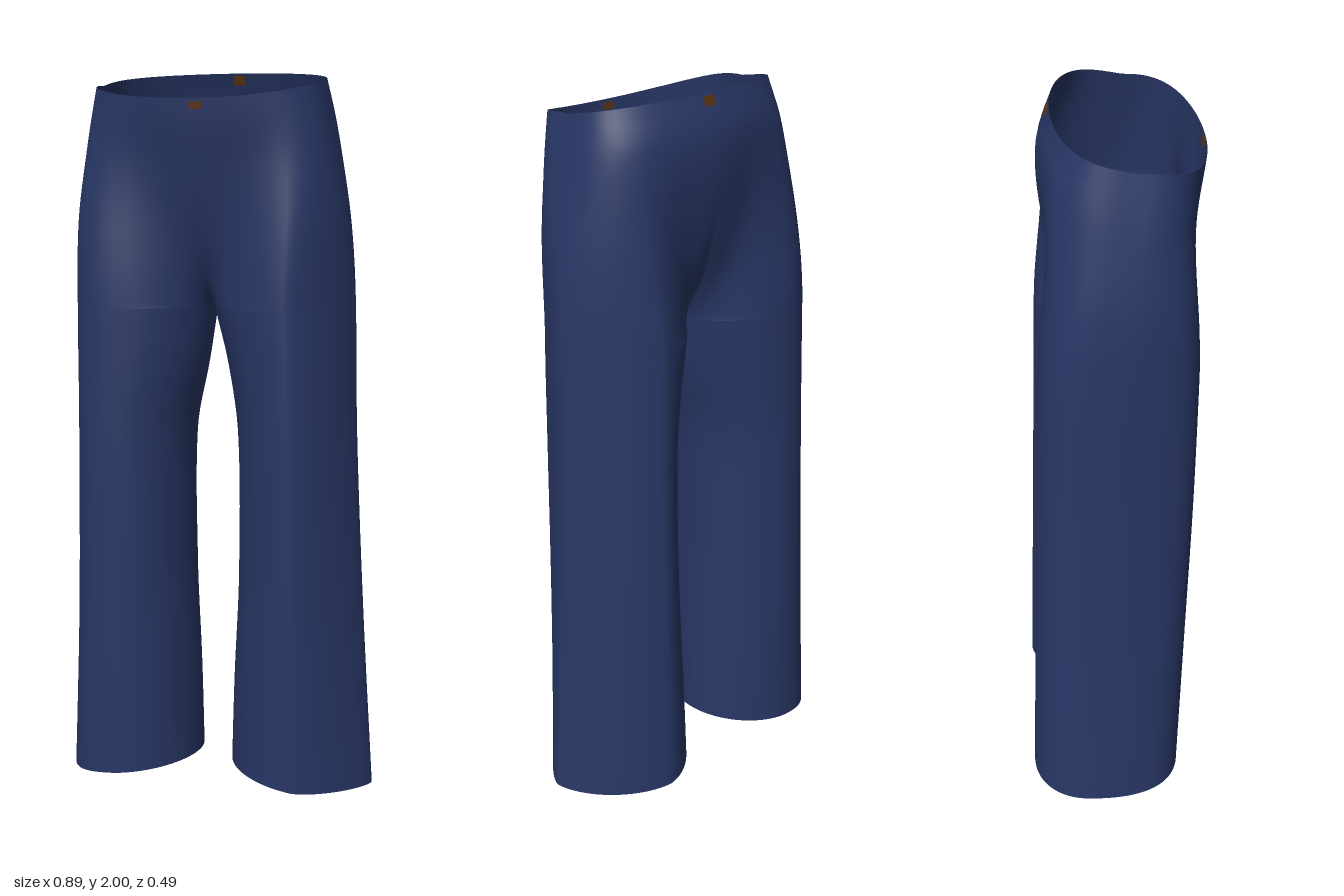
import * as THREE from 'three';
import { mergeVertices, mergeGeometries } from 'three/addons/utils/BufferGeometryUtils.js';

const { lerp, clamp, smoothstep } = THREE.MathUtils;
const CROTCH = 1.36, TOP = 1.96, CENTRE = -0.018;

// Smooth lookup of a value by height from [height, value] pairs
function profile(pairs) {
  const ys = pairs.map(p => p[0]), vs = pairs.map(p => p[1]), n = ys.length;
  const slope = ys.map((_, i) => {
    const a = Math.max(i - 1, 0), b = Math.min(i + 1, n - 1);
    return (vs[b] - vs[a]) / (ys[b] - ys[a]);
  });
  return y => {
    let i = 0;
    while (i < n - 2 && y > ys[i + 1]) i++;
    const h = ys[i + 1] - ys[i], t = clamp((y - ys[i]) / h, 0, 1);
    const t2 = t * t, t3 = t2 * t;
    return (2 * t3 - 3 * t2 + 1) * vs[i] + (t3 - 2 * t2 + t) * h * slope[i]
      + (3 * t2 - 2 * t3) * vs[i + 1] + (t3 - t2) * h * slope[i + 1];
  };
}

// The right leg is fuller and squarer in section, the left one more pointed
const legs = {
  right: {
    outer: profile([[0, -0.45], [0.5, -0.425], [1, -0.412], [1.4, -0.41], [1.6, -0.4], [1.8, -0.365], [1.96, -0.33]]),
    inner: profile([[0, -0.075], [0.3, -0.08], [0.6, -0.09], [1, -0.085], [1.2, -0.045], [1.36, CENTRE]]),
    frontX: -0.28, backX: -0.29, outerZ: -0.05, innerPower: 1.05, outerPower: 0.82,
  },
  left: {
    outer: profile([[0, 0.442], [0.5, 0.41], [1, 0.385], [1.4, 0.375], [1.6, 0.36], [1.8, 0.325], [1.96, 0.29]]),
    inner: profile([[0, 0.025], [0.3, 0.035], [0.6, 0.05], [1, 0.05], [1.2, 0.022], [1.36, CENTRE]]),
    frontX: 0.24, backX: 0.19, outerZ: 0, innerPower: 1.12, outerPower: 1.35,
  },
};
const legFront = profile([[0, 0.188], [0.5, 0.2], [1, 0.212], [1.5, 0.217], [1.96, 0.217]]);
const legBack = profile([[0, -0.243], [0.5, -0.228], [1, -0.212], [1.5, -0.197], [1.96, -0.187]]);
const waistFront = profile([[1.36, 0.21], [1.75, 0.217], [1.96, 0.24]]);
const waistBack = profile([[1.36, -0.185], [1.65, -0.192], [1.85, -0.187], [1.96, -0.15]]);

// Cloth point: t runs from the front seam, round the outer side, to the back seam
function clothPoint(leg, y, t) {
  const a = t * Math.PI, c = Math.cos(2 * a), s = Math.sin(2 * a);
  const front = legFront(y), back = legBack(y), midZ = (front + back) / 2;
  const inner = leg.inner(Math.min(y, CROTCH)), outer = leg.outer(y);
  const mid = lerp(lerp(leg.frontX, leg.backX, (1 - s) / 2), (inner + outer) / 2, 0.3);
  const soft = v => Math.sign(v) * Math.pow(Math.abs(v), c > 0 ? leg.innerPower : leg.outerPower);
  // Closed leg tube
  let x = mid + (c > 0 ? inner - mid : mid - outer) * soft(c);
  let z = midZ + (front - back) / 2 * soft(s) + (c < 0 ? c * c * (1 - Math.abs(s)) * (leg.outerZ - midZ) : 0);
  // Open half of the waist ring: opens quickly at the centre seam, slowly at the hip
  if (y > CROTCH) {
    const u = Math.min((y - CROTCH) / 0.54, 1), k = Math.cos(a), side = 0.05;
    const w = lerp(Math.pow(Math.sin(u * Math.PI / 2), 0.52), smoothstep(y, CROTCH, TOP),
      smoothstep(Math.sin(a), 0, 0.75));
    const wx = CENTRE + (outer - CENTRE) * Math.sin(a);
    const wz = side + Math.pow(Math.abs(k), 0.6) * (k > 0 ? waistFront(y) - side : waistBack(y) - side);
    x = lerp(x, wx, w);
    z = lerp(z, wz, w);
  }
  // Waist dips at the front and lifts at the back, hem rises at the inner side
  const d = z - 0.05, tilt = smoothstep(y, 1.5, TOP), hem = 1 - smoothstep(y, 0, 0.4);
  return new THREE.Vector3(x, y - tilt * (d > 0 ? 1.25 * d * d : 0.2 * d) + hem * 0.019 * (1 + c), z);
}

// Half of the trousers as a grid of cross-sections
function halfCloth(leg, flip) {
  const lower = 36, upper = 36, around = 96, rows = lower + upper, pos = [], index = [];
  for (let i = 0; i <= rows; i++) {
    const y = i <= lower ? CROTCH * i / lower
      : CROTCH + (TOP - CROTCH) * Math.pow((i - lower) / upper, 1.6);
    for (let j = 0; j <= around; j++) pos.push(...clothPoint(leg, y, j / around).toArray());
  }
  const n = around + 1;
  for (let i = 0; i < rows; i++) {
    for (let j = 0; j < around; j++) {
      const a = i * n + j, b = a + 1, c = b + n, d = a + n;
      index.push(...(flip ? [a, c, b, a, d, c] : [a, b, c, a, c, d]));
    }
  }
  const g = new THREE.BufferGeometry();
  g.setAttribute('position', new THREE.Float32BufferAttribute(pos, 3));
  g.setIndex(index);
  return g;
}

export function createModel() {
  const group = new THREE.Group();
  group.name = 'trousers';
  const denim = new THREE.MeshStandardMaterial({ color: 0x283766, side: THREE.DoubleSide });
  denim.name = 'navy cloth';
  const brown = new THREE.MeshStandardMaterial({ color: 0x5a3314 });
  brown.name = 'brown tab';

  // Both halves, welded along the centre and inner leg seams
  const cloth = mergeVertices(mergeGeometries([halfCloth(legs.right, true), halfCloth(legs.left, false)]), 1e-4);
  cloth.computeVertexNormals();
  const trousers = new THREE.Mesh(cloth, denim);
  trousers.name = 'trouserCloth';
  group.add(trousers);

  // Small tabs at the front and back of the waist
  for (const [name, t, x, height, lean] of [['frontTab', 0, -0.008, 0.018, 0.13], ['backTab', 1, 0.003, 0.026, 0.3]]) {
    const tab = new THREE.Mesh(new THREE.BoxGeometry(0.034, height, 0.007), brown);
    tab.name = name;
    tab.position.copy(clothPoint(legs.left, 1.94, t));
    tab.position.x = x;
    tab.rotation.x = lean;
    group.add(tab);
  }
  return group;
}
